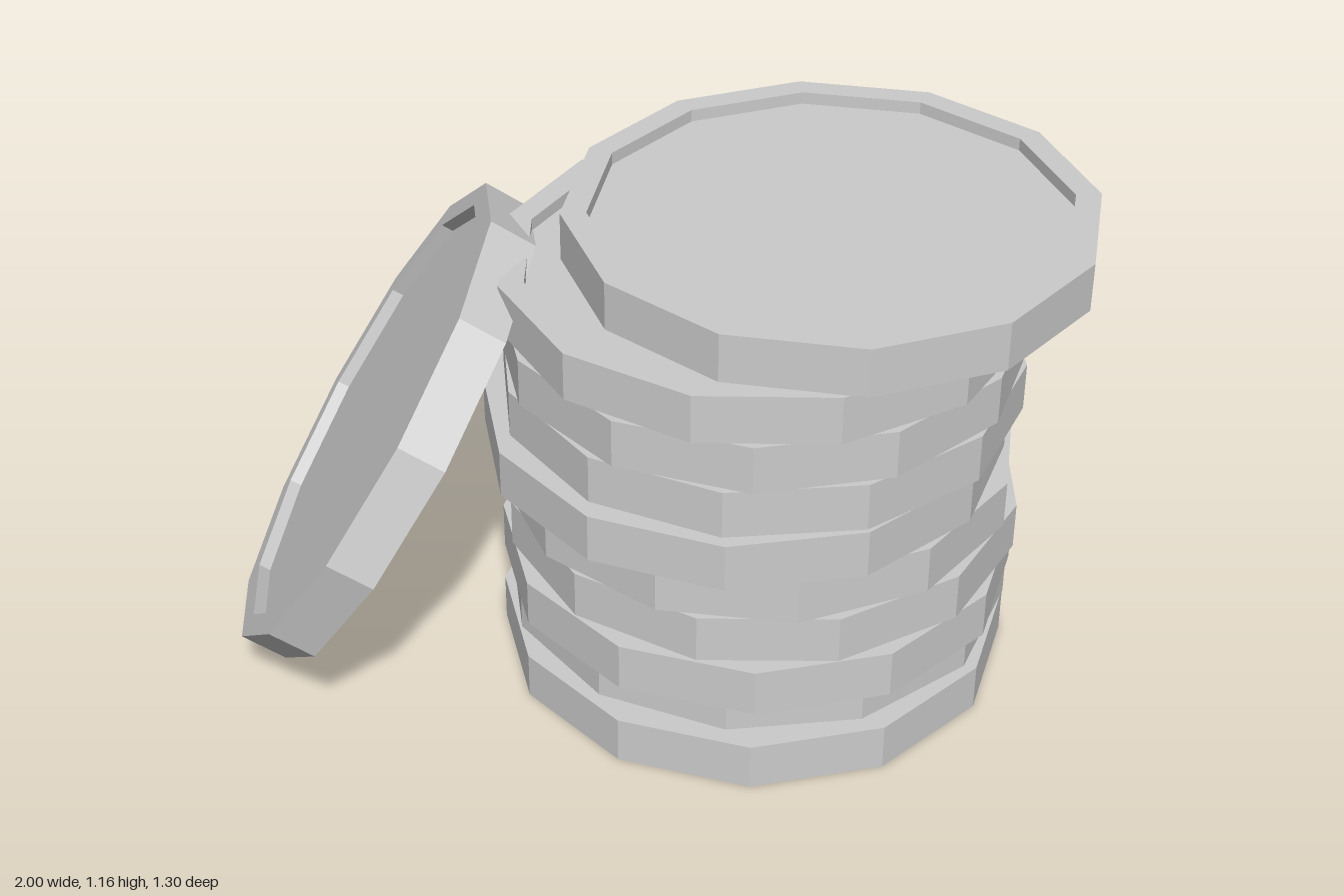
import * as THREE from 'three';

const R = 0.607, RIM = 0.548, H = 0.1165, DEPTH = 0.03;

// Twelve-sided coin with a raised rim on both faces
function coinGeometry() {
  const h = H / 2, f = h - DEPTH;
  const profile = [
    [0, -f], [RIM, -f], [RIM, -h], [R, -h],
    [R, h], [RIM, h], [RIM, f], [0, f],
  ].map(([x, y]) => new THREE.Vector2(x, y));
  return new THREE.LatheGeometry(profile, 12);
}

export function createModel() {
  const model = new THREE.Group();
  model.name = 'coinStack';
  const material = new THREE.MeshStandardMaterial({ color: 0xcccccc, flatShading: true });
  const geometry = coinGeometry();

  // Stacked coins from the bottom up: x, z and turn in degrees
  const stack = [
    [0.243, 0.012, 0],
    [0.247, -0.045, -5.8],
    [0.248, 0.033, 0],
    [0.257, 0.007, -13.3],
    [0.246, 0.005, 8.7],
    [0.209, 0.041, -3],
    [0.246, 0.012, -7.3],
    [0.248, 0.008, -1.5],
    [0.247, 0.011, -14],
    [0.397, -0.012, 6.5],
  ];
  stack.forEach(([x, z, turn], i) => {
    const coin = new THREE.Mesh(geometry, material);
    coin.name = `stackedCoin${i + 1}`;
    coin.position.set(x, H * (i + 0.5), z);
    coin.rotation.y = THREE.MathUtils.degToRad(turn);
    model.add(coin);
  });

  // Coin leaning against the side of the stack
  const leaning = new THREE.Mesh(geometry, material);
  leaning.name = 'leaningCoin';
  leaning.position.set(-0.634, 0.565, 0.005);
  leaning.rotation.z = THREE.MathUtils.degToRad(58.3);
  model.add(leaning);

  return model;
}
